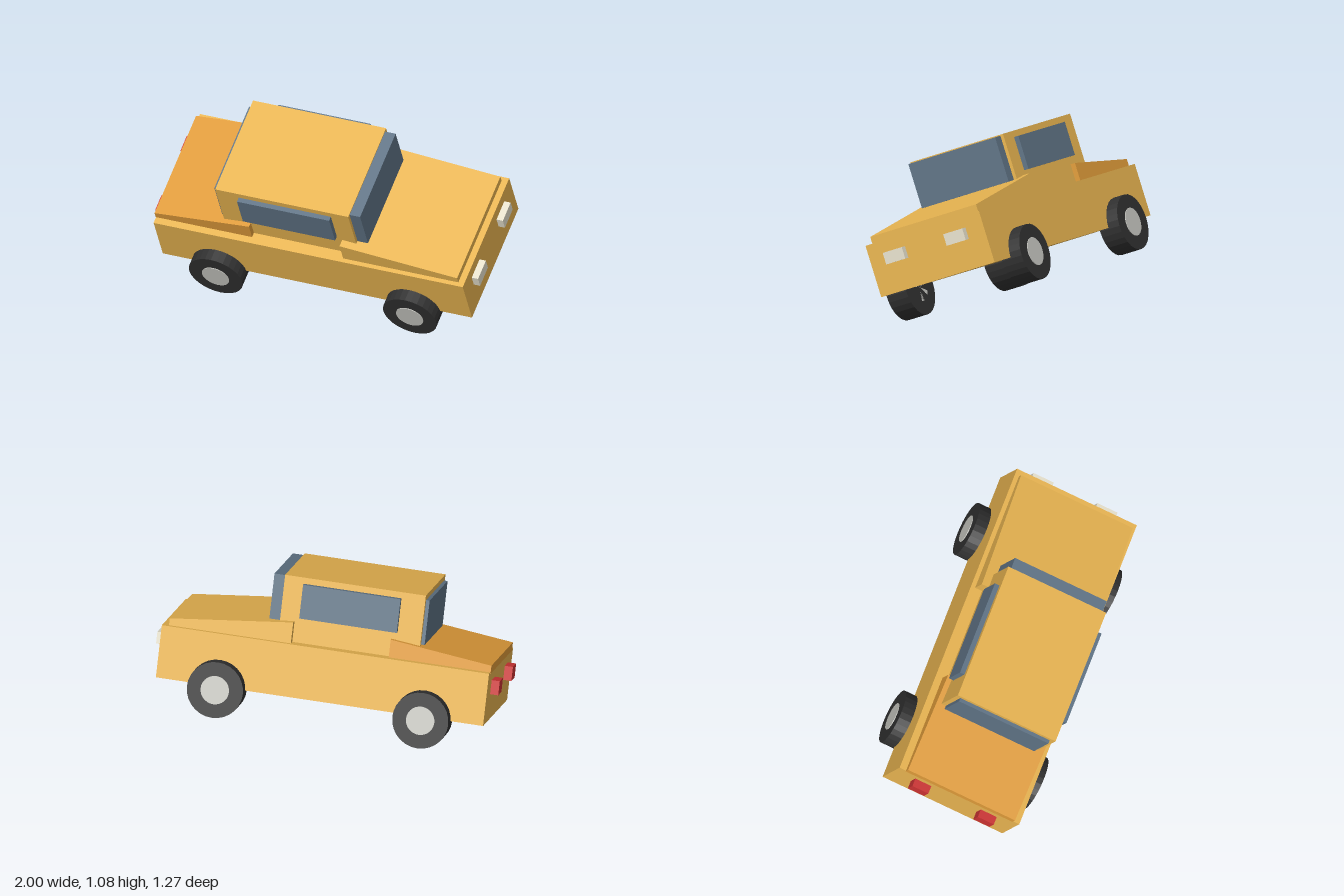
import * as THREE from 'three';

const mat = (color) => new THREE.MeshStandardMaterial({ color, flatShading: true });
const paint = mat(0xe8b450), trunkPaint = mat(0xe09c3a), glass = mat(0x5f7385);
const rubber = mat(0x303030), hubMetal = mat(0xc6c6c0), lamp = mat(0xe6e0cc), red = mat(0xcc3333);

export function createModel() {
  const car = new THREE.Group();
  car.name = 'car';

  const add = (name, geometry, material) => {
    const mesh = new THREE.Mesh(geometry, material);
    mesh.name = name;
    car.add(mesh);
    return mesh;
  };
  // box given by its limits along length (x), height (y) and width (z)
  const box = (name, material, x0, x1, y0, y1, z0, z1) => {
    const mesh = add(name, new THREE.BoxGeometry(x1 - x0, y1 - y0, z1 - z0), material);
    mesh.position.set((x0 + x1) / 2, (y0 + y1) / 2, (z0 + z1) / 2);
    return mesh;
  };
  // box whose top slopes from height yA at x0 to yB at x1
  const wedge = (name, material, x0, x1, y0, yA, yB, halfWidth) => {
    const g = new THREE.BoxGeometry(x1 - x0, 1, halfWidth * 2);
    g.translate((x0 + x1) / 2, 0, 0);
    const p = g.attributes.position;
    for (let i = 0; i < p.count; i++) {
      const top = p.getX(i) < (x0 + x1) / 2 ? yA : yB;
      p.setY(i, p.getY(i) > 0 ? top : y0);
    }
    g.computeVertexNormals();
    return add(name, g, material);
  };

  // bodywork
  box('lowerBody', paint, -0.924, 0.924, -0.1485, 0.1485, -0.375, 0.375);
  wedge('hood', paint, 0.2, 0.888, 0.14, 0.267, 0.188, 0.35);
  wedge('trunk', trunkPaint, -0.926, -0.35, 0.14, 0.187, 0.249, 0.335);
  box('cabin', paint, -0.513, 0.282, 0.14, 0.518, -0.306, 0.306);

  // glazing
  box('windshield', glass, 0.27, 0.345, 0.256, 0.512, -0.287, 0.287);
  box('rearWindow', glass, -0.533, -0.5, 0.235, 0.488, -0.28, 0.28);

  // mirrored parts
  for (const [side, s] of [['left', -1], ['right', 1]]) {
    const mirrorBox = (name, m, x0, x1, y0, y1, z0, z1) =>
      box(side + name, m, x0, x1, y0, y1, Math.min(s * z0, s * z1), Math.max(s * z0, s * z1));
    mirrorBox('SideWindow', glass, -0.379, 0.172, 0.291, 0.483, 0.29, 0.334);
    mirrorBox('Headlight', lamp, 0.91, 0.962, 0.016, 0.083, 0.137, 0.263);
    mirrorBox('TailLight', red, -0.97, -0.91, 0.009, 0.089, 0.155, 0.255);

    for (const [end, x] of [['Front', 0.577], ['Rear', -0.583]]) {
      const tire = add(side + end + 'Tire', new THREE.CylinderGeometry(0.158, 0.158, 0.128, 28), rubber);
      tire.position.set(x, -0.155, s * 0.382);
      const hub = add(side + end + 'Hub', new THREE.CylinderGeometry(0.08, 0.08, 0.132, 28), hubMetal);
      hub.position.set(x, -0.155, s * 0.384);
      tire.rotation.x = hub.rotation.x = Math.PI / 2;
    }
  }

  // whole car is tilted in space
  car.rotation.set(0.371, 0.236, -0.045);
  car.position.set(0, 0.476, 0.031);

  const model = new THREE.Group();
  model.name = 'tiltedCar';
  model.add(car);
  return model;
}
